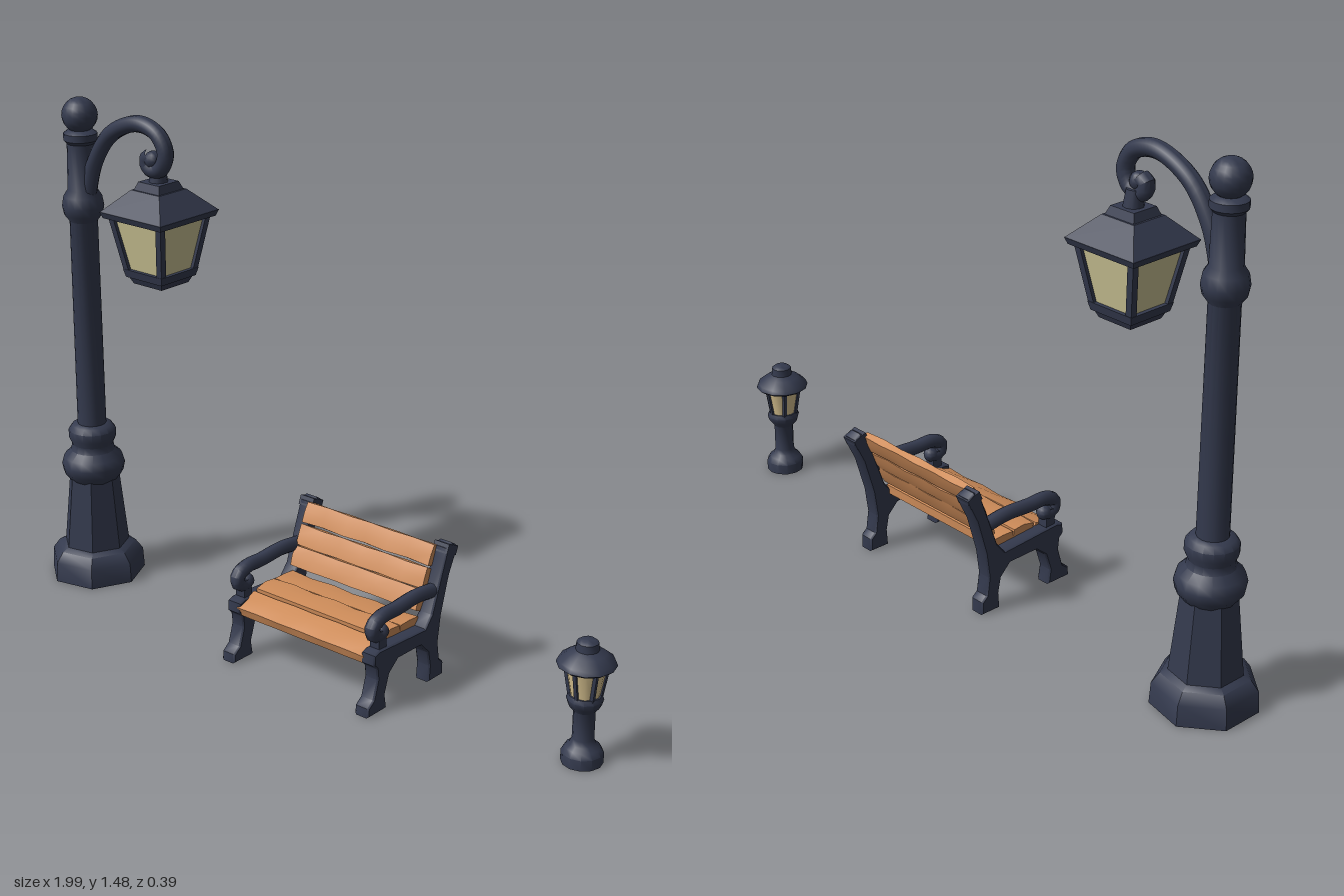
import * as THREE from 'three';
import { toCreasedNormals } from 'three/addons/utils/BufferGeometryUtils.js';

const V = (x, y, z) => new THREE.Vector3(x, y, z);

function material(name, color) {
  const m = new THREE.MeshStandardMaterial({ color });
  m.name = name;
  return m;
}

export function createModel() {
  const iron = material('dark iron', 0x343a4e);
  const wood = material('warm wood', 0xcf8d5a);
  const glass = material('pale glass', 0xcdc596);
  const warmGlass = material('warm glass', 0xdcc693);

  const add = (parent, name, geo, mat) => {
    const mesh = new THREE.Mesh(toCreasedNormals(geo, 0.7), mat);
    mesh.name = name;
    parent.add(mesh);
    return mesh;
  };
  const group = (parent, name, x, y, z) => {
    const g = new THREE.Group();
    g.name = name;
    g.position.set(x, y, z);
    parent.add(g);
    return g;
  };
  // Turned part from [radius, height] pairs, first corner on +x
  const turned = (points, sides) =>
    new THREE.LatheGeometry(points.map(([r, y]) => new THREE.Vector2(r, y)), sides, Math.PI / 2);
  // Square block tapering from half-width a at y0 to b at y1
  const taper = (a, b, y0, y1) =>
    new THREE.CylinderGeometry(b * Math.SQRT2, a * Math.SQRT2, y1 - y0, 4)
      .rotateY(Math.PI / 4).translate(0, (y0 + y1) / 2, 0);
  // Straight bar between two points
  const bar = (parent, name, a, b, w) => {
    const mesh = add(parent, name, new THREE.BoxGeometry(w, a.distanceTo(b), w), iron);
    mesh.position.copy(a).add(b).multiplyScalar(0.5);
    mesh.quaternion.setFromUnitVectors(V(0, 1, 0), b.clone().sub(a).normalize());
  };
  const tube = (points, r, n) =>
    new THREE.TubeGeometry(new THREE.CatmullRomCurve3(points), n, r, 10);

  const model = new THREE.Group();
  model.name = 'streetFurniture';

  // Lamp post
  const lamp = group(model, 'lampPost', -0.863, 0, 0);
  add(lamp, 'footing', turned([[0, 0], [0.146, 0], [0.142, 0.06], [0.12, 0.09], [0.1, 0.1],
    [0.076, 0.33], [0, 0.33]], 7), iron);
  add(lamp, 'pole', turned([[0.07, 0.31], [0.09, 0.335], [0.095, 0.36], [0.088, 0.385], [0.066, 0.405],
    [0.062, 0.425], [0.071, 0.445], [0.071, 0.47], [0.06, 0.485], [0.043, 0.49], [0.041, 1.12],
    [0.056, 1.14], [0.061, 1.165], [0.056, 1.195], [0.043, 1.215], [0.04, 1.35],
    [0.049, 1.36], [0.049, 1.38], [0.035, 1.39], [0, 1.39]], 16), iron);
  add(lamp, 'finial', new THREE.SphereGeometry(0.052, 16, 12).translate(0, 1.432, 0), iron);

  // Curled arm
  const armPath = [[0.02, 1.19], [0.055, 1.3], [0.125, 1.395], [0.235, 1.442], [0.31, 1.422], [0.338, 1.37],
    [0.315, 1.325], [0.28, 1.32], [0.266, 1.345], [0.285, 1.358]];
  add(lamp, 'arm', tube(armPath.map(([x, y]) => V(x, y, 0)), 0.024, 60), iron);
  add(lamp, 'curlEnd', new THREE.SphereGeometry(0.026, 12, 8).translate(0.29, 1.348, 0), iron);

  // Hanging lantern
  const lantern = group(lamp, 'lantern', 0.296, 0, -0.012);
  add(lantern, 'hanger', new THREE.CylinderGeometry(0.02, 0.03, 0.06, 10).translate(0, 1.3, 0), iron);
  add(lantern, 'roofCap', taper(0.052, 0.04, 1.255, 1.285), iron);
  add(lantern, 'roof', taper(0.118, 0.055, 1.2, 1.262), iron);
  add(lantern, 'eaves', taper(0.112, 0.119, 1.182, 1.2), iron);
  add(lantern, 'panes', taper(0.062, 0.092, 1.02, 1.185), glass);
  add(lantern, 'lanternBase', taper(0.07, 0.076, 1.008, 1.032), iron);
  add(lantern, 'lanternFoot', taper(0.055, 0.065, 0.988, 1.01), iron);
  for (const sx of [-1, 1]) for (const sz of [-1, 1])
    bar(lantern, 'cornerBar', V(sx * 0.063, 1.02, sz * 0.063), V(sx * 0.093, 1.19, sz * 0.093), 0.019);

  // Bench end frames: legs, seat rail and back post in one outline of [z, y]
  const bench = group(model, 'bench', 0.098, 0, 0);
  const outline = [[0.19, 0], [0.188, 0.028], [0.165, 0.045], [0.148, 0.1], [0.152, 0.135], [0.165, 0.148],
    [0.163, 0.178], [0.14, 0.185], [-0.06, 0.172], [-0.088, 0.205], [-0.143, 0.355], [-0.152, 0.382],
    [-0.175, 0.393], [-0.195, 0.38], [-0.195, 0.36], [-0.165, 0.3], [-0.132, 0.19], [-0.12, 0.11],
    [-0.128, 0.055], [-0.145, 0.04], [-0.145, 0], [-0.078, 0], [-0.082, 0.05], [-0.073, 0.095],
    [-0.04, 0.128], [0.06, 0.13], [0.097, 0.1], [0.115, 0.045], [0.108, 0]];
  const sideShape = new THREE.Shape(outline.map(([z, y]) => new THREE.Vector2(z, y)));
  const armRest = [[-0.12, 0.262], [-0.04, 0.272], [0.05, 0.268], [0.11, 0.268], [0.145, 0.25],
    [0.138, 0.222], [0.108, 0.222]];
  for (const s of [-1, 1]) {
    const end = group(bench, s > 0 ? 'leftEnd' : 'rightEnd', s * 0.242, 0, 0);
    add(end, 'sideFrame', new THREE.ExtrudeGeometry(sideShape, {
      depth: 0.036, bevelEnabled: true, bevelSize: 0.004, bevelOffset: -0.004, bevelThickness: 0.005, bevelSegments: 1,
    }).translate(0, 0, -0.018).rotateY(-Math.PI / 2), iron);
    add(end, 'armRest', tube(armRest.map(([z, y]) => V(0, y, z)), 0.021, 28), iron);
    add(end, 'scrollEnd', new THREE.SphereGeometry(0.022, 10, 8).translate(0, 0.225, 0.108), iron);
    bar(end, 'armSupport', V(0, 0.16, 0.118), V(0, 0.235, 0.122), 0.032);
    add(end, 'postTop', new THREE.BoxGeometry(0.05, 0.028, 0.045)
      .rotateX(-0.4).translate(0, 0.372, -0.173), iron);
  }

  // Weathered planks: boxes with slightly uneven edges
  const plank = (name, width, thick, y, z, tilt, seed) => {
    const geo = new THREE.BoxGeometry(0.455, thick, width, 6, 1, 2);
    const p = geo.attributes.position;
    for (let i = 0; i < p.count; i++) {
      const x = p.getX(i), py = p.getY(i), pz = p.getZ(i);
      const k = Math.sin(x * 41 + py * 130 + pz * 67 + seed * 2.3);
      const round = Math.abs(pz) > width * 0.4 ? 0.8 : 1;
      p.setXYZ(i, x, py * round + k * 0.0015, pz * (1 + 0.05 * k));
    }
    const mesh = add(bench, name, geo, wood);
    mesh.position.set(0, y, z);
    mesh.rotation.x = tilt;
  };
  [[0.165, 0.124, 0.33], [0.184, 0.045, 0.06], [0.181, -0.034, -0.05]]
    .forEach(([y, z, t], i) => plank('seatPlank', 0.076, 0.034, y, z, t, i));
  [[0.238, -0.085], [0.295, -0.111], [0.356, -0.139]]
    .forEach(([y, z], i) => plank('backPlank', 0.06, 0.026, y, z, Math.PI / 2 - 0.42, i + 4));

  // Low path light
  const bollard = group(model, 'pathLight', 0.921, 0, 0);
  add(bollard, 'stem', turned([[0, 0], [0.056, 0], [0.056, 0.03], [0.047, 0.045], [0.035, 0.055], [0.029, 0.07],
    [0.029, 0.15], [0.044, 0.168], [0.049, 0.185], [0.044, 0.197], [0, 0.197]], 12), iron);
  add(bollard, 'lightGlass', turned([[0.038, 0.19], [0.055, 0.285]], 12), warmGlass);
  add(bollard, 'lightCap', turned([[0, 0.277], [0.07, 0.277], [0.079, 0.284], [0.074, 0.296], [0.05, 0.315],
    [0.031, 0.324], [0.029, 0.345], [0.02, 0.352], [0, 0.352]], 12), iron);
  for (let i = 0; i < 6; i++) {
    const a = (i + 0.5) * Math.PI / 3, c = Math.cos(a), s = Math.sin(a);
    bar(bollard, 'rib', V(c * 0.038, 0.188, s * 0.038), V(c * 0.055, 0.285, s * 0.055), 0.01);
  }
  return model;
}
